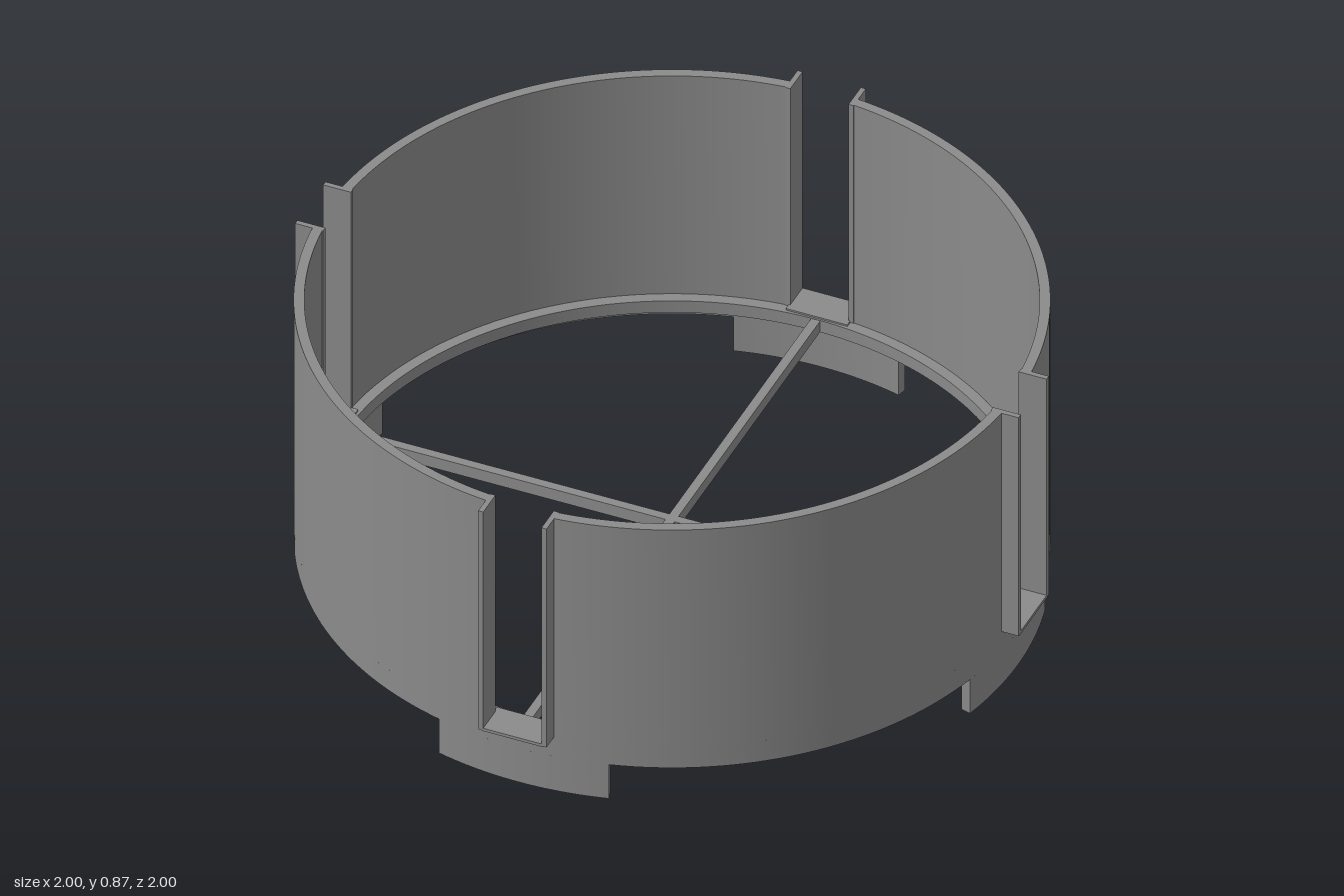
import * as THREE from 'three';
import { toCreasedNormals } from 'three/addons/utils/BufferGeometryUtils.js';

const OUTER = 0.957, INNER = 0.93, LEDGE = 0.9;
const TOP = 0.866, BAND_BOTTOM = 0.108, BAND_TOP = 0.173;
const material = new THREE.MeshStandardMaterial({ color: 0x8b8b8b });

function add(parent, name, geometry) {
  const mesh = new THREE.Mesh(geometry, material);
  mesh.name = name;
  parent.add(mesh);
  return mesh;
}

// Turns a flat plan into a solid standing between two heights
function stand(shape, y0, y1, curveSegments) {
  const g = new THREE.ExtrudeGeometry(shape, { depth: y1 - y0, bevelEnabled: false, curveSegments });
  g.rotateX(-Math.PI / 2).translate(0, y0, 0);
  return toCreasedNormals(g, 0.5);
}

function ring(rIn, rOut, y0, y1) {
  const shape = new THREE.Shape().absarc(0, 0, rOut, 0, Math.PI * 2, false);
  shape.holes.push(new THREE.Path().absarc(0, 0, rIn, 0, Math.PI * 2, true));
  return stand(shape, y0, y1, 160);
}

function sector(a0, a1, y0, y1, segments) {
  const shape = new THREE.Shape();
  shape.absarc(0, 0, OUTER, a0, a1, false);
  shape.absarc(0, 0, INNER, a1, a0, true);
  shape.closePath();
  return stand(shape, y0, y1, segments);
}

function box(x0, x1, y0, y1, z0, z1) {
  return new THREE.BoxGeometry(x1 - x0, y1 - y0, z1 - z0)
    .translate((x0 + x1) / 2, (y0 + y1) / 2, (z0 + z1) / 2);
}

export function createModel() {
  const model = new THREE.Group();
  model.name = 'slottedRingHolder';

  // Continuous band under the slots and the inner ledge
  add(model, 'baseBand', ring(INNER, OUTER, BAND_BOTTOM, BAND_TOP));
  add(model, 'innerLedge', ring(LEDGE, INNER + 0.005, 0.135, 0.172));

  // Crossed bars spanning the ledge
  add(model, 'crossBarX', box(-0.91, 0.91, 0.136, 0.171, -0.0125, 0.0125));
  add(model, 'crossBarZ', box(-0.0125, 0.0125, 0.136, 0.171, -0.91, 0.91));

  const slotAngle = 0.092, legAngle = Math.asin(0.235 / OUTER);
  for (let i = 0; i < 4; i++) {
    const quarter = new THREE.Group();
    quarter.name = 'quarter' + (i + 1);
    quarter.rotation.y = i * Math.PI / 2;
    model.add(quarter);

    // Tall wall between two slots, and the short foot below a slot
    add(quarter, 'wall', sector(slotAngle, Math.PI / 2 - slotAngle, BAND_TOP, TOP, 36));
    add(quarter, 'foot', sector(-legAngle, legAngle, 0, BAND_BOTTOM, 14));

    // U-shaped frame around the slot
    for (const s of [-1, 1]) {
      const flange = add(quarter, 'slotFlange', box(-0.007, 0.007, 0.17, TOP, 0.923, 1));
      flange.position.x = s * 0.0875;
    }
    add(quarter, 'slotSill', box(-0.085, 0.085, 0.168, 0.177, 0.905, 1));
  }
  return model;
}
